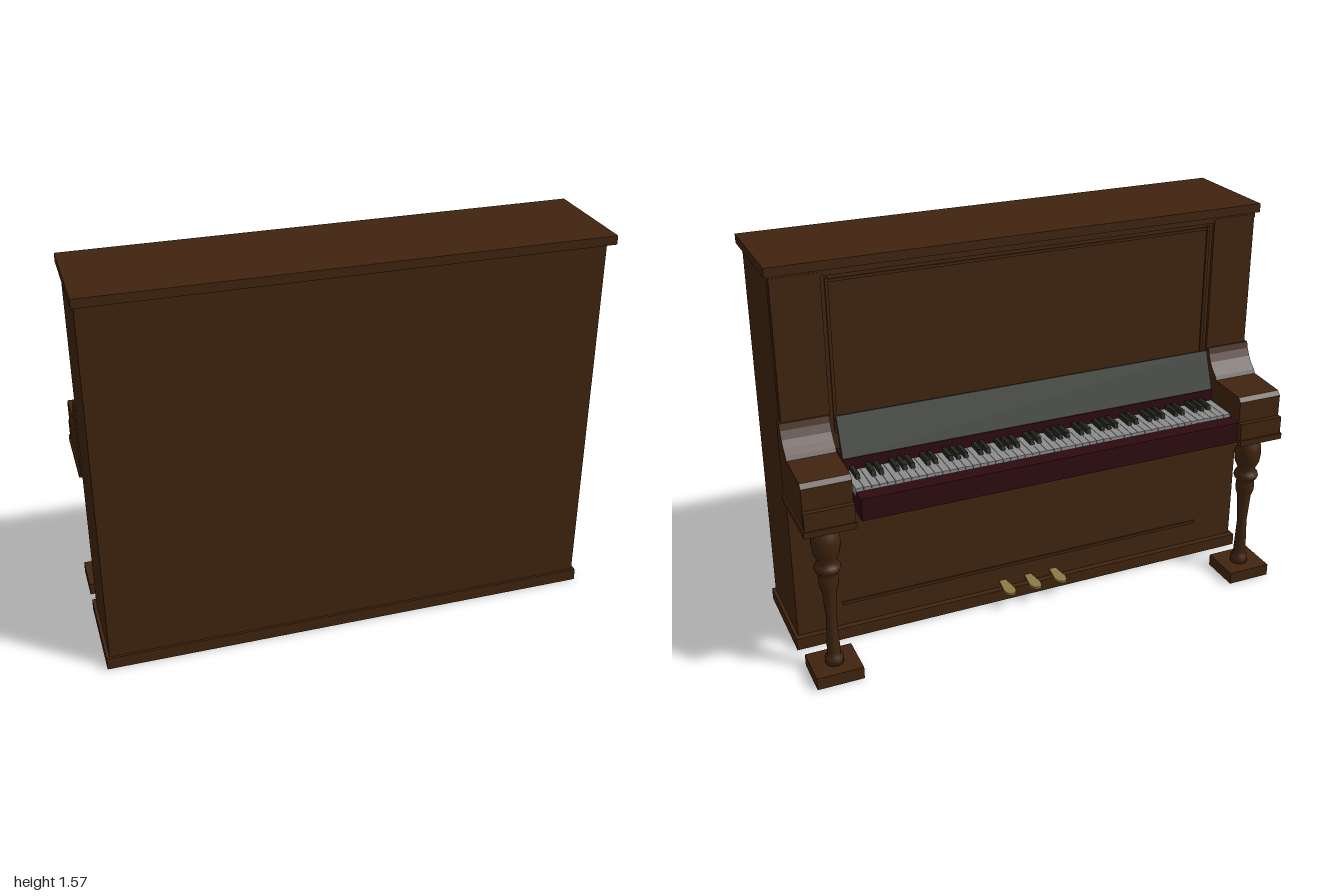
import * as THREE from 'three';

const paint = (name, color, extra = {}) =>
  Object.assign(new THREE.MeshStandardMaterial({ color, ...extra }), { name });

export function createModel() {
  const wood = paint('brown wood', 0x40240f);
  const maroon = paint('maroon felt wood', 0x2e0a10);
  const ivory = paint('ivory', 0x8c8c8c);
  const ebony = paint('ebony', 0x23241c);
  const slate = paint('dark slate', 0x2b2f27);
  const brass = paint('brass', 0x8c7b45);

  const model = new THREE.Group();
  model.name = 'uprightPiano';

  // Box given by its limits on each axis
  function box(name, mat, x0, x1, y0, y1, z0, z1, parent = model) {
    const mesh = new THREE.Mesh(new THREE.BoxGeometry(x1 - x0, y1 - y0, z1 - z0), mat);
    mesh.position.set((x0 + x1) / 2, (y0 + y1) / 2, (z0 + z1) / 2);
    mesh.name = name;
    parent.add(mesh);
    return mesh;
  }

  // Side profile of [z, y] points, extruded from x0 to x1
  function profile(name, mat, points, x0, x1, parent = model) {
    const shape = new THREE.Shape(points.map(([z, y]) => new THREE.Vector2(-z, y)));
    const geo = new THREE.ExtrudeGeometry(shape, { depth: x1 - x0, bevelEnabled: false });
    geo.rotateY(Math.PI / 2);
    geo.translate(x0, 0, 0);
    const mesh = new THREE.Mesh(geo, mat);
    mesh.name = name;
    parent.add(mesh);
    return mesh;
  }

  // Cabinet
  box('cabinet', wood, -0.987, 0.987, 0.05, 1.535, -0.055, 0.31);
  box('plinth', wood, -1, 1, 0, 0.05, -0.08, 0.32);
  box('lid', wood, -1, 1, 1.535, 1.57, -0.08, 0.36);
  box('lidMoulding', wood, -0.987, 0.987, 1.51, 1.535, -0.066, -0.05);
  box('upperRail', wood, -0.77, 0.77, 1.483, 1.494, -0.06, -0.05);
  box('keybedMoulding', wood, -0.8, 0.8, 0.64, 0.66, -0.062, -0.05);
  box('lowerMoulding', wood, -0.8, 0.8, 0.145, 0.158, -0.061, -0.05);

  // Stiles, arms and legs, the same on both sides
  const armPoints = [
    [-0.04, 0.66], [-0.335, 0.66], [-0.335, 0.84], [-0.32, 0.857], [-0.15, 0.865],
    [-0.14, 0.88], [-0.117, 0.9], [-0.098, 0.925], [-0.083, 0.955], [-0.075, 0.98], [-0.04, 0.98],
  ];
  const legPoints = [
    [0, 0.05], [0.036, 0.05], [0.036, 0.078], [0.025, 0.08], [0.026, 0.1], [0.02, 0.25],
    [0.028, 0.37], [0.038, 0.4], [0.038, 0.435], [0.034, 0.445], [0.046, 0.458], [0.051, 0.47],
    [0.047, 0.485], [0.034, 0.5], [0.05, 0.535], [0.055, 0.57], [0.054, 0.595], [0.05, 0.62],
    [0.038, 0.64], [0.038, 0.66],
  ].map(([r, y]) => new THREE.Vector2(r, y));
  for (const side of [1, -1]) {
    const end = new THREE.Group();
    end.name = side > 0 ? 'leftEnd' : 'rightEnd';
    model.add(end);
    const across = (a, b) => (side > 0 ? [a, b] : [-b, -a]);
    box('stile', wood, ...across(0.8, 0.983), 0.975, 1.525, -0.068, -0.05, end);
    box('panelBead', wood, ...across(0.772, 0.784), 0.9, 1.5, -0.062, -0.05, end);
    profile('arm', wood, armPoints, ...across(0.806, 0.993), end);
    box('armBlock', wood, ...across(0.806, 0.995), 0.68, 0.752, -0.355, -0.33, end);
    box('armPlate', wood, ...across(0.804, 1), 0.655, 0.68, -0.36, -0.05, end);
    box('foot', wood, ...across(0.812, 0.996), 0, 0.05, -0.357, -0.187, end);
    const leg = new THREE.Mesh(new THREE.LatheGeometry(legPoints, 20), wood);
    leg.position.set(side * 0.903, 0, -0.273);
    leg.name = 'frontLeg';
    end.add(leg);
  }

  // Keybed with front rail, felt strip and fallboard
  box('keybed', maroon, -0.785, 0.785, 0.68, 0.75, -0.3, -0.05);
  box('keyRail', maroon, -0.785, 0.785, 0.68, 0.768, -0.36, -0.3);
  box('feltStrip', maroon, -0.785, 0.785, 0.75, 0.83, -0.153, -0.05);
  profile('fallboard', slate,
    [[-0.15, 0.828], [-0.093, 0.98], [-0.085, 0.98], [-0.085, 0.955], [-0.13, 0.828]], -0.785, 0.785);

  // Keys, from the lowest at +x to the highest at -x
  const keys = new THREE.Group();
  keys.name = 'keyboard';
  model.add(keys);
  const pitch = 1.57 / 52;
  for (let i = 0; i < 52; i++) {
    const x = 0.785 - (i + 0.5) * pitch;
    box('whiteKey', ivory, x - 0.0143, x + 0.0143, 0.74, 0.782, -0.3, -0.15, keys);
    // White keys run A B C D E F G; no black key follows B or E
    if (i < 51 && ![1, 4].includes(i % 7)) {
      const bx = x - pitch / 2;
      profile('blackKey', ebony,
        [[-0.15, 0.775], [-0.235, 0.775], [-0.228, 0.802], [-0.15, 0.802]], bx - 0.008, bx + 0.008, keys);
    }
  }

  // Pedals, widening to a rounded toe
  const toe = new THREE.Shape();
  toe.moveTo(-0.014, 0.05);
  toe.lineTo(0.014, 0.05);
  toe.lineTo(0.024, 0.125);
  toe.quadraticCurveTo(0.024, 0.165, 0, 0.165);
  toe.quadraticCurveTo(-0.024, 0.165, -0.024, 0.125);
  const pedalGeo = new THREE.ExtrudeGeometry(toe, { depth: 0.01, bevelEnabled: false, curveSegments: 5 });
  pedalGeo.rotateX(-Math.PI / 2);
  for (const x of [-0.115, 0, 0.115]) {
    const pedal = new THREE.Mesh(pedalGeo, brass);
    pedal.position.set(x, 0.072, 0);
    pedal.name = 'pedal';
    model.add(pedal);
  }
  return model;
}
